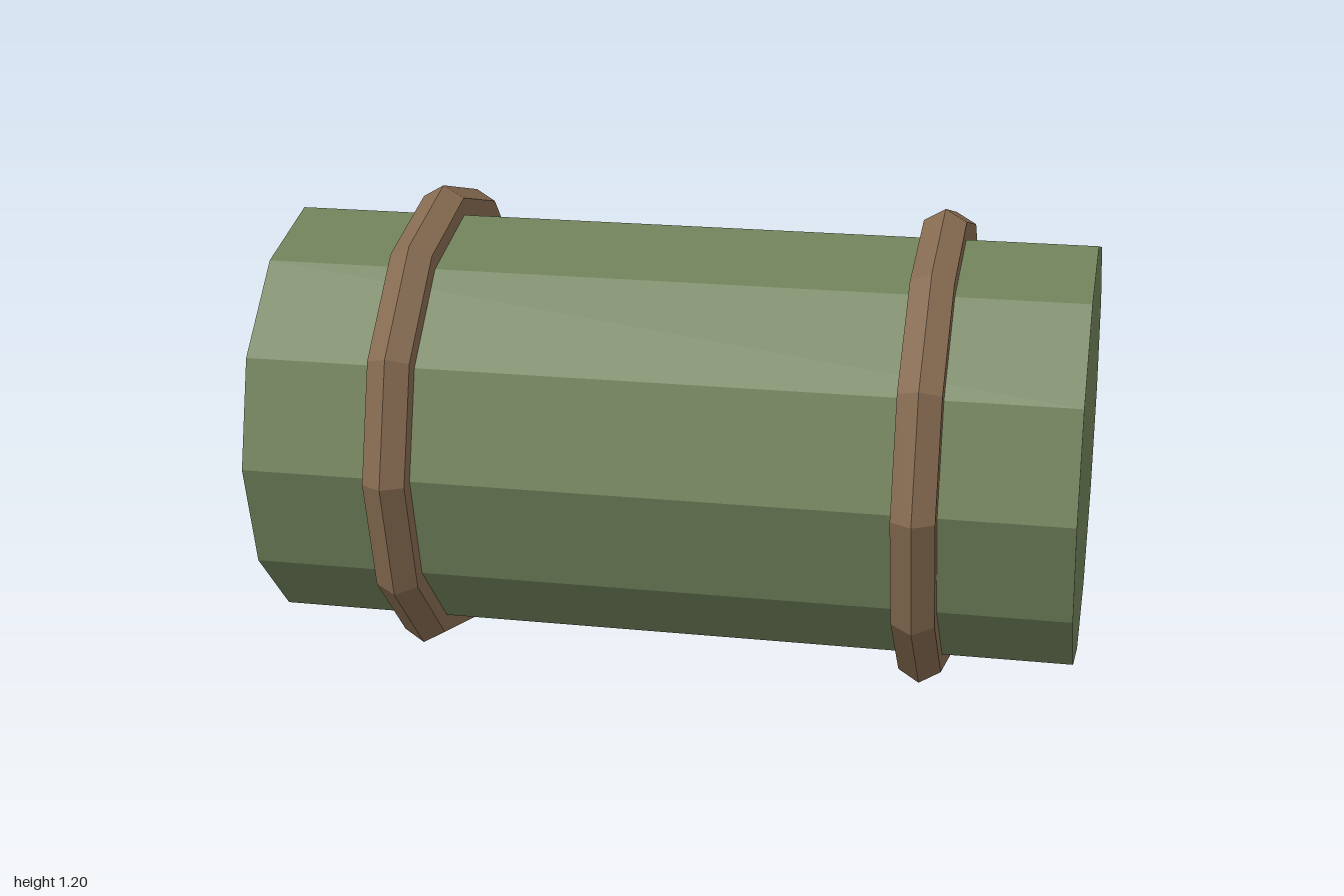
import * as THREE from 'three';

export function createModel() {
  const group = new THREE.Group();
  group.name = 'bedroll';

  const flatMaterial = (name, color) => {
    const material = new THREE.MeshStandardMaterial({ color, flatShading: true });
    material.name = name;
    return material;
  };
  const greenCloth = flatMaterial('greenCloth', 0x6f8058);
  const brownLeather = flatMaterial('brownLeather', 0x856a50);

  const centreY = 0.6;

  // Rolled body: twelve-sided, lying along x
  const body = new THREE.Mesh(
    new THREE.CylinderGeometry(0.525, 0.525, 2, 12).rotateZ(Math.PI / 2),
    greenCloth
  );
  body.name = 'rolledBody';
  body.position.y = centreY;
  group.add(body);

  // Two hexagonal-section straps around the body
  const strapGeometry = new THREE.TorusGeometry(0.539, 0.06, 6, 12).rotateY(Math.PI / 2);
  for (const side of [-1, 1]) {
    const strap = new THREE.Mesh(strapGeometry, brownLeather);
    strap.name = side < 0 ? 'rightStrap' : 'leftStrap';
    strap.position.set(side * 0.63, centreY, 0);
    group.add(strap);
  }

  return group;
}
